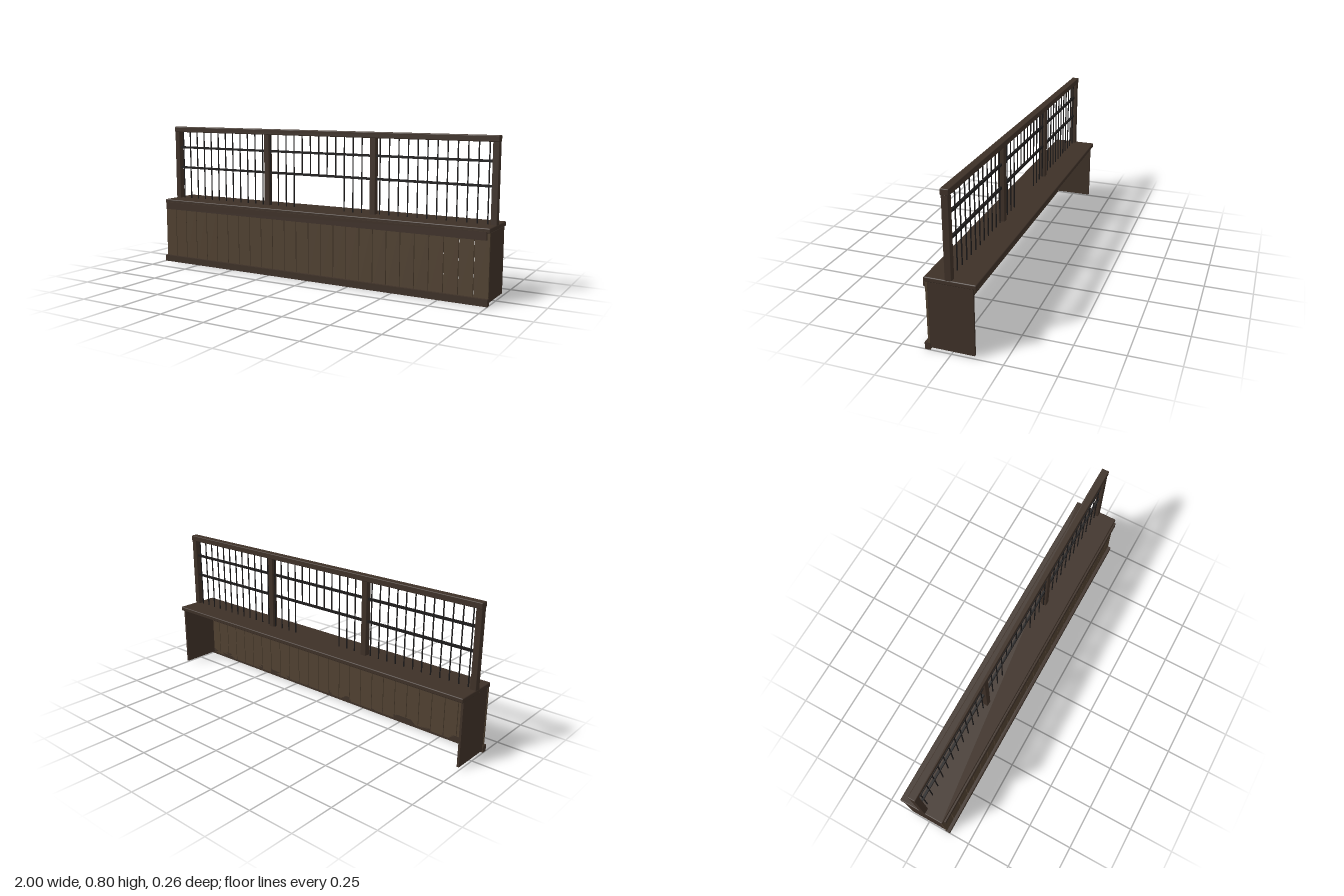
import * as THREE from 'three';
import { RoundedBoxGeometry } from 'three/addons/geometries/RoundedBoxGeometry.js';

const paint = (color) => new THREE.MeshStandardMaterial({ color });

export function createModel() {
  const model = new THREE.Group();
  const wood = paint(0x3d3027);
  const plankWood = paint(0x4f4030);
  const iron = paint(0x1c1a1a);

  // Box given by its min and max corners; a bevel softens the edges
  const box = (name, material, [x0, y0, z0], [x1, y1, z1], bevel = 0) => {
    const size = [x1 - x0, y1 - y0, z1 - z0];
    const geometry = bevel
      ? new RoundedBoxGeometry(...size, 2, bevel)
      : new THREE.BoxGeometry(...size);
    const mesh = new THREE.Mesh(geometry, material);
    mesh.name = name;
    mesh.position.set((x0 + x1) / 2, (y0 + y1) / 2, (z0 + z1) / 2);
    model.add(mesh);
  };

  // Counter: worktop, apron strip and base board
  box('countertop', wood, [-1, 0.351, -0.13], [1, 0.375, 0.121], 0.005);
  box('frontApron', wood, [-0.985, 0.318, 0.113], [0.985, 0.36, 0.13]);
  box('baseBoard', wood, [-1, 0, 0.105], [1, 0.036, 0.132]);

  // Side panels; the back stays open
  for (const s of [-1, 1]) {
    box('sidePanel', wood, [s * 0.99 - 0.006, 0.012, -0.113], [s * 0.99 + 0.006, 0.35, 0.106]);
  }

  // Front planks with narrow gaps
  const planks = 26, pitch = 2 / planks;
  for (let i = 0; i < planks; i++) {
    const x = -1 + i * pitch;
    box('frontPlank', plankWood, [x + 0.002, 0.012, 0.105], [x + pitch - 0.002, 0.352, 0.115]);
  }

  // Screen frame: posts and top rail
  for (const x of [-0.983, -0.333, 0.333, 0.983]) {
    box('screenPost', wood, [x - 0.016, 0.372, -0.014], [x + 0.016, 0.776, 0.019], 0.003);
  }
  box('topRail', wood, [-1, 0.773, -0.018], [1, 0.804, 0.023], 0.004);

  // Horizontal bars
  for (const y of [0.56, 0.681]) {
    box('crossBar', iron, [-0.975, y - 0.006, -0.003], [0.975, y + 0.006, 0.009]);
  }

  // Vertical bars, cut short above the service opening
  for (let i = -18; i <= 18; i++) {
    const bottom = Math.abs(i) < 3 ? 0.56 : 0.373;
    const bar = new THREE.Mesh(new THREE.CylinderGeometry(0.0035, 0.0035, 0.775 - bottom, 8), iron);
    bar.name = 'verticalBar';
    bar.position.set(i * 0.0527, (0.775 + bottom) / 2, 0.003);
    model.add(bar);
  }

  return model;
}
